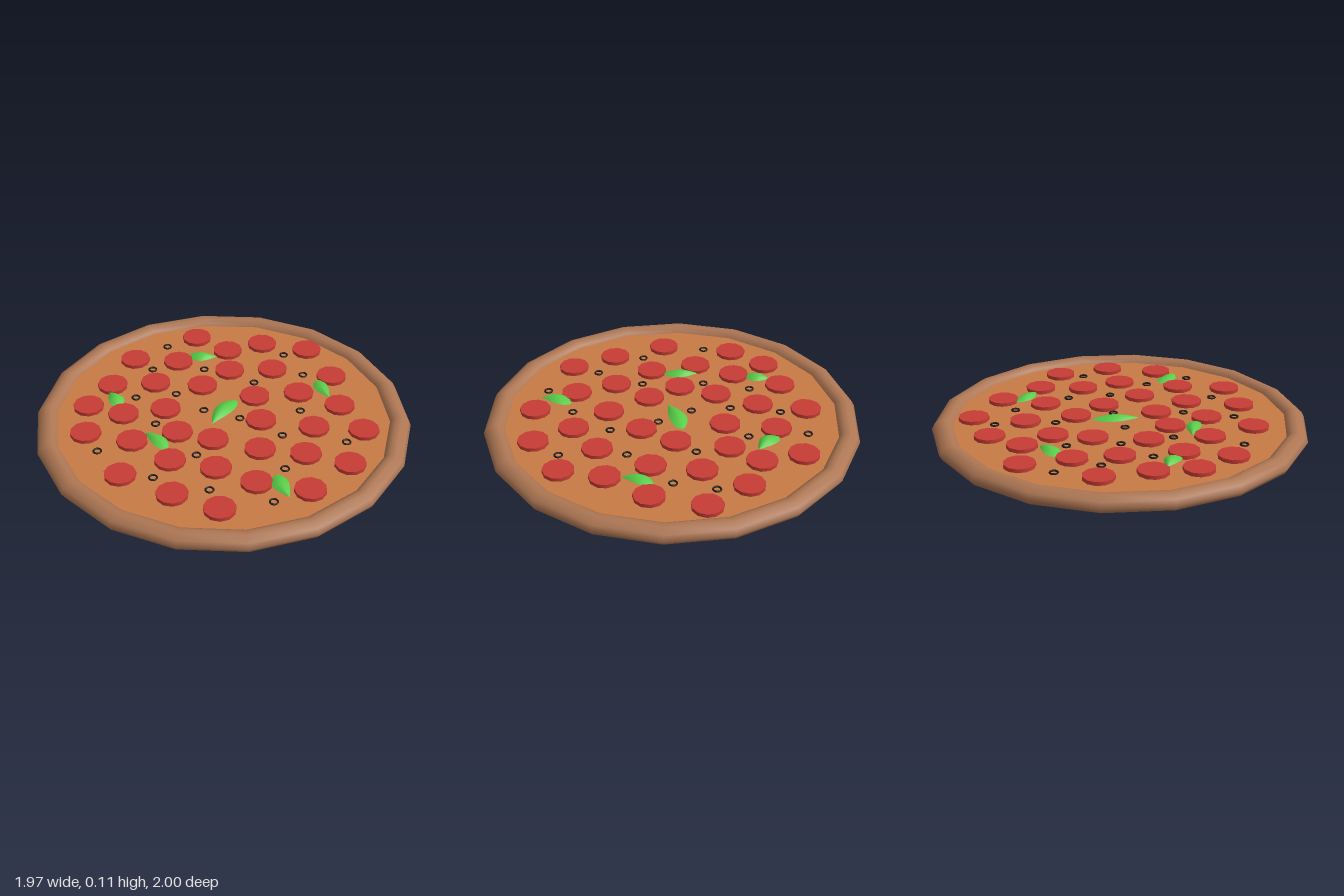
import * as THREE from 'three';

const SIDES = 18, SAUCE_Y = 0.07;
const mat = (color, extra = {}) => new THREE.MeshStandardMaterial({ color, ...extra });

// Leaf: a tapered, folded sheet along +x with a blunt tail and an arched midrib
function leafGeometry(length, width) {
  const geo = new THREE.PlaneGeometry(1, 1, 10, 4);
  const p = geo.attributes.position;
  for (let i = 0; i < p.count; i++) {
    const t = p.getX(i) + 0.5, side = p.getY(i) * 2;
    const w = Math.sin(Math.PI * Math.min(1, 0.06 + 0.94 * Math.pow(t, 0.8))) * width / 2;
    const bend = Math.sin(Math.PI * t) * width * 0.12;
    const y = 0.006 + 0.026 * Math.sin(Math.PI * t) * (1 - 0.8 * side * side);
    p.setXYZ(i, (t - 0.5) * length, y, -side * w + bend);
  }
  geo.computeVertexNormals();
  return geo;
}

export function createModel() {
  const pizza = new THREE.Group();
  pizza.name = 'pizza';
  const add = (name, geo, material, x = 0, y = 0, z = 0, parent = pizza) => {
    const mesh = new THREE.Mesh(geo, material);
    mesh.name = name;
    mesh.position.set(x, y, z);
    parent.add(mesh);
    return mesh;
  };
  const group = (name) => {
    const g = new THREE.Group();
    g.name = name;
    pizza.add(g);
    return g;
  };

  // Crust: flat base rolling up into a rounded rim
  const profile = [
    [0, 0], [0.88, 0], [0.945, 0.006], [0.985, 0.025], [1, 0.052], [0.985, 0.08],
    [0.95, 0.1], [0.92, 0.098], [0.895, 0.083], [0.885, 0.06],
  ].map(([r, y]) => new THREE.Vector2(r, y));
  add('crust', new THREE.LatheGeometry(profile, SIDES), mat(0xad7653));

  // Sauce and cheese disc
  add('sauce', new THREE.CylinderGeometry(0.89, 0.89, 0.03, SIDES), mat(0xc87a45), 0, SAUCE_Y - 0.015, 0);

  // Pepperoni slices: x, z
  const slices = [
    [-0.21, -0.69], [0.2, -0.73], [-0.42, -0.52], [0, -0.56], [0.3, -0.53], [0.51, -0.5], [-0.61, -0.4],
    [-0.2, -0.43], [0.22, -0.35], [0.71, -0.33], [0.02, -0.29], [-0.47, -0.25], [-0.25, -0.19], [-0.71, -0.19],
    [0.44, -0.25], [0.23, -0.07], [-0.52, -0.02], [-0.28, 0.02], [0.46, 0.01], [0.7, -0.04], [0.16, 0.13],
    [-0.14, 0.16], [-0.41, 0.21], [-0.68, 0.2], [0.6, 0.21], [0.38, 0.31], [0.04, 0.34], [-0.23, 0.37],
    [-0.51, 0.45], [0.6, 0.45], [0.23, 0.48], [-0.1, 0.56], [-0.35, 0.65], [0.11, 0.73], [0.39, 0.65],
  ];
  const sliceGeo = new THREE.CylinderGeometry(0.082, 0.082, 0.03, 11);
  const sliceMat = mat(0xc83c35);
  const pepperoni = group('pepperoni');
  slices.forEach(([x, z], i) => {
    add('pepperoniSlice', sliceGeo, sliceMat, x, SAUCE_Y + 0.005, z, pepperoni).rotation.y = i * 0.7;
  });

  // Olive rings: x, z
  const rings = [
    [0.01, -0.73], [-0.16, -0.56], [0.1, -0.43], [-0.35, -0.36], [-0.14, -0.29], [0.57, -0.35], [0.29, -0.19],
    [0.57, -0.13], [-0.71, -0.03], [-0.35, -0.1], [-0.07, -0.09], [0.07, 0.06], [0.39, 0.15], [-0.27, 0.23],
    [-0.54, 0.29], [0.2, 0.29], [-0.33, 0.5], [0.08, 0.53], [0.47, 0.49], [-0.09, 0.72],
  ];
  const ringGeo = new THREE.TorusGeometry(0.02, 0.005, 6, 16).rotateX(Math.PI / 2);
  const ringMat = mat(0x1c1814);
  const olives = group('olives');
  rings.forEach(([x, z]) => add('oliveRing', ringGeo, ringMat, x, SAUCE_Y + 0.004, z, olives));

  // Basil leaves: blunt end x, z then tip x, z, and width
  const leaves = [
    [0.12, -0.08, -0.09, 0.045, 0.095], [0.075, -0.58, 0.215, -0.5, 0.09], [-0.47, -0.315, -0.465, -0.46, 0.085],
    [-0.39, 0.13, -0.435, -0.05, 0.08], [0.61, -0.04, 0.585, 0.13, 0.08], [0.015, 0.56, -0.01, 0.735, 0.09],
  ];
  const leafMat = mat(0x58cc48, { side: THREE.DoubleSide });
  const basil = group('basil');
  leaves.forEach(([x0, z0, x1, z1, width]) => {
    const leaf = add('basilLeaf', leafGeometry(Math.hypot(x1 - x0, z1 - z0), width), leafMat,
      (x0 + x1) / 2, SAUCE_Y + 0.005, (z0 + z1) / 2, basil);
    leaf.rotation.y = Math.atan2(z0 - z1, x1 - x0);
  });

  return pizza;
}
